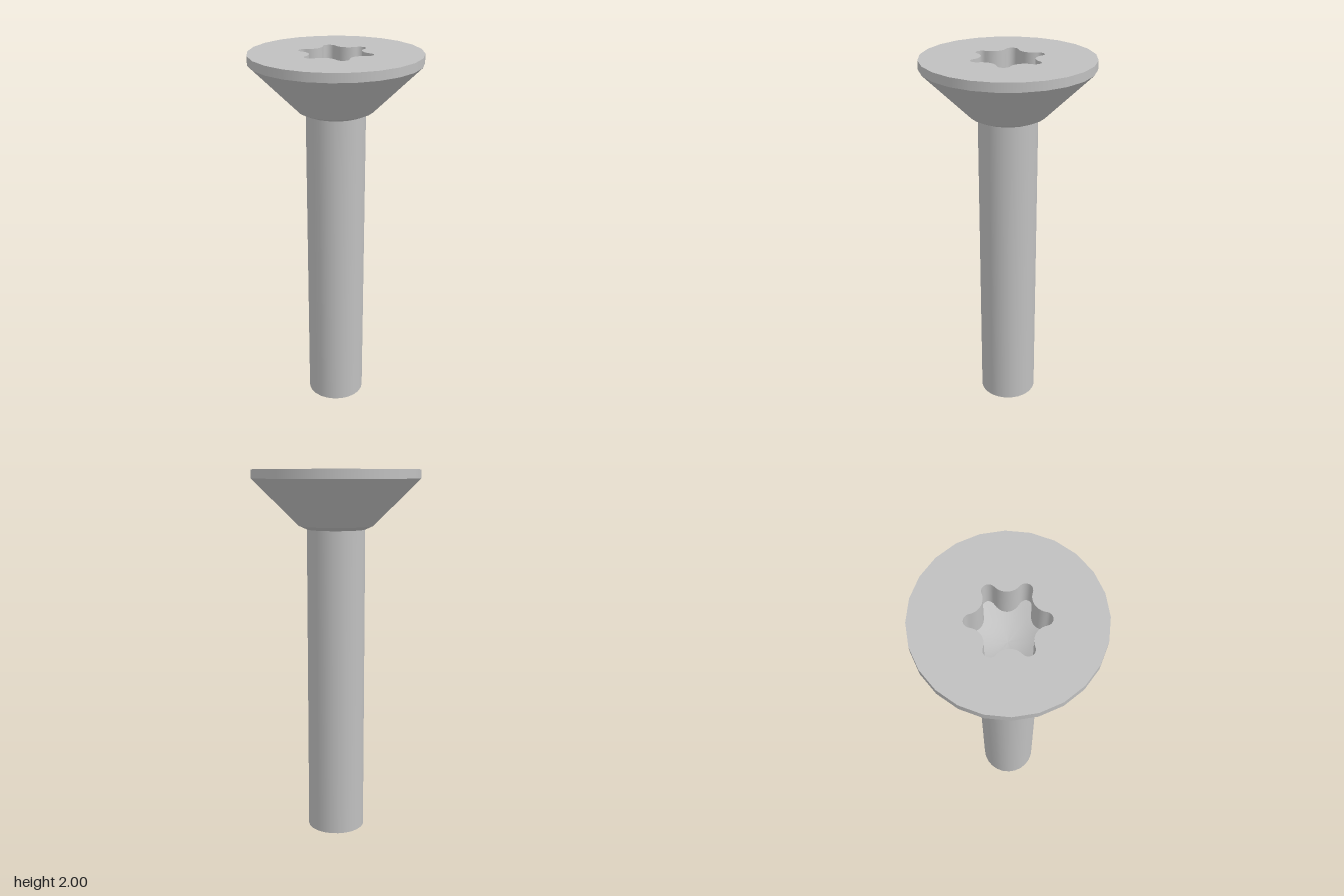
import * as THREE from 'three';

const TOP = 2, HEAD_R = 0.45, SHANK_R = 0.157, SIDES = 24;

// Six-lobed socket outline made of tangent arcs, as [x, z] points
function socketOutline() {
  const tip = 0.199, valley = 0.138, lobeR = 0.033, c = tip - lobeR, k = valley - lobeR;
  const D = (c * c - k * k) / (2 * (c * Math.cos(Math.PI / 6) - k));
  const R = D - valley;
  const vx = D * Math.cos(Math.PI / 6), vy = D * Math.sin(Math.PI / 6);
  const a = Math.atan2(vy, vx - c);
  const pts = [];
  const arc = (cx, cy, r, from, to, n, turn) => {
    for (let i = 0; i < n; i++) {
      const t = from + (to - from) * i / n;
      pts.push(new THREE.Vector2(cx + r * Math.cos(t), cy + r * Math.sin(t))
        .rotateAround(new THREE.Vector2(), turn));
    }
  };
  for (let s = 0; s < 6; s++) {
    const turn = s * Math.PI / 3;
    arc(c, 0, lobeR, -a, a, 10, turn);
    arc(vx, vy, R, Math.PI + a, Math.PI * 4 / 3 - a, 10, turn);
  }
  return pts;
}

// Skin between closed loops of points, facing inwards and upwards
function loft(loops) {
  const n = loops[0].length, pos = [], index = [];
  loops.forEach(loop => loop.forEach(p => pos.push(p.x, p.y, p.z)));
  for (let j = 0; j < loops.length - 1; j++) {
    for (let i = 0; i < n; i++) {
      const a = j * n + i, b = j * n + (i + 1) % n;
      index.push(a, a + n, b, b, a + n, b + n);
    }
  }
  const g = new THREE.BufferGeometry();
  g.setAttribute('position', new THREE.Float32BufferAttribute(pos, 3));
  g.setIndex(index);
  g.computeVertexNormals();
  return g;
}

export function createModel() {
  const group = new THREE.Group();
  const steel = new THREE.MeshStandardMaterial({ color: 0xc0c0c0 });
  steel.name = 'steel';
  const add = (name, geometry) => {
    const mesh = new THREE.Mesh(geometry, steel);
    mesh.name = name;
    group.add(mesh);
    return mesh;
  };
  const turned = (name, r0, y0, r1, y1) => add(name, new THREE.LatheGeometry(
    [new THREE.Vector2(r0, y0), new THREE.Vector2(r1, y1)], SIDES));

  // Shank and countersunk head, one band per crisp edge
  add('shankEnd', new THREE.CircleGeometry(SHANK_R, SIDES).rotateX(Math.PI / 2));
  turned('shank', SHANK_R, 0, SHANK_R, 1.687);
  turned('headNeck', SHANK_R, 1.687, 0.2, 1.706);
  turned('headCone', 0.2, 1.706, HEAD_R, 1.953);
  turned('headRim', HEAD_R, 1.953, HEAD_R, TOP);

  // Flat top with the socket cut out
  const outline = socketOutline();
  const disc = new THREE.Shape();
  for (let i = 0; i < SIDES; i++) {
    const t = i / SIDES * Math.PI * 2;
    disc[i ? 'lineTo' : 'moveTo'](HEAD_R * Math.cos(t), HEAD_R * Math.sin(t));
  }
  disc.closePath();
  disc.holes.push(new THREE.Path(outline));
  add('headTop', new THREE.ShapeGeometry(disc).rotateX(-Math.PI / 2).translate(0, TOP, 0));

  // Socket walls running down to a bowl-shaped floor
  const floorY = r => TOP - 0.16 - 0.08 * (1 - (r / 0.2) ** 2);
  const floorLoop = s => outline.map(p =>
    new THREE.Vector3(p.x * s, floorY(p.length() * s), p.y * s));
  add('socketWall', loft([outline.map(p => new THREE.Vector3(p.x, TOP, p.y)), floorLoop(1)]));
  add('socketFloor', loft([1, 0.8, 0.6, 0.4, 0.2, 0.001].map(floorLoop)));

  return group;
}
